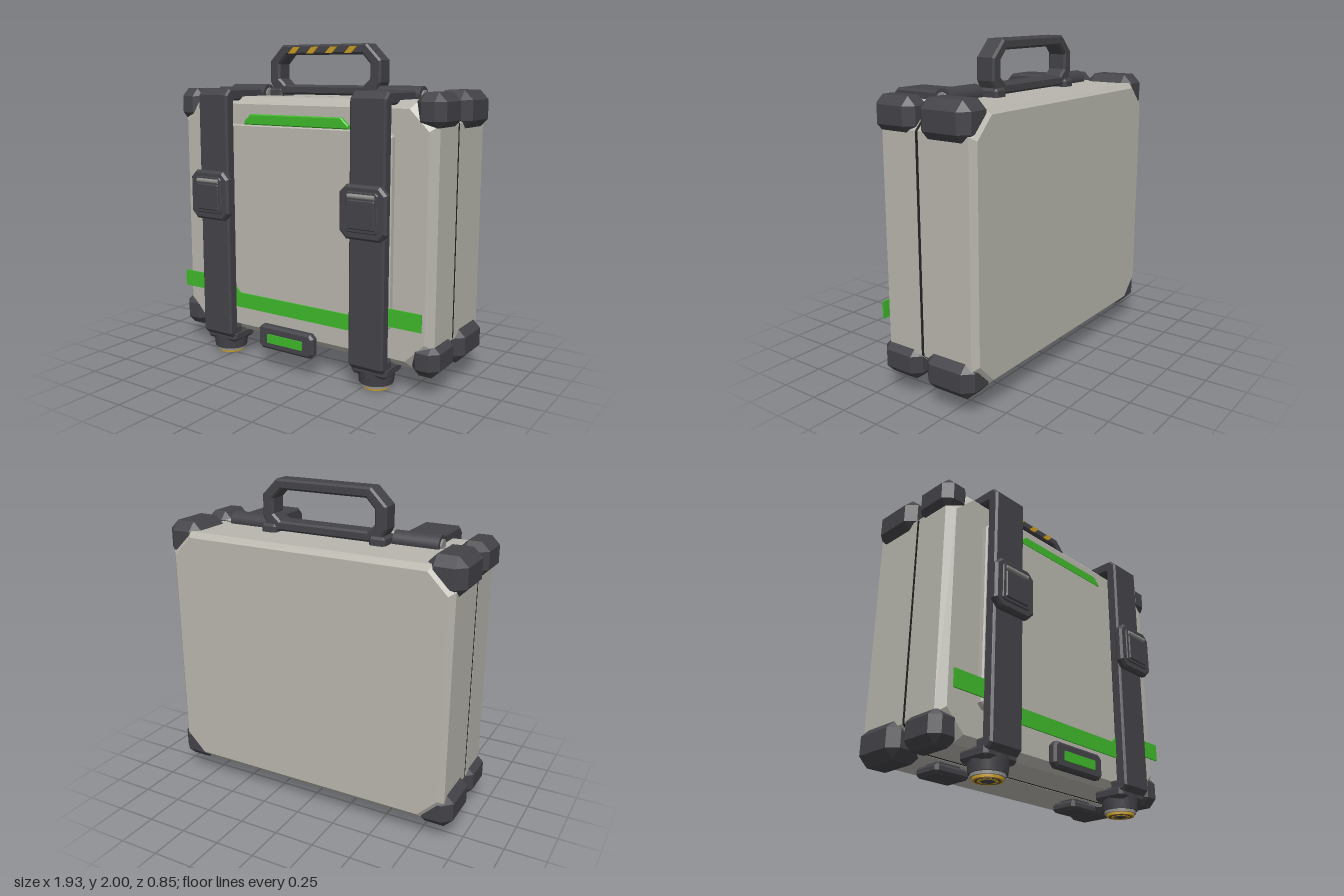
import * as THREE from 'three';
import { ConvexGeometry } from 'three/addons/geometries/ConvexGeometry.js';

const paint = (name, color) => Object.assign(new THREE.MeshStandardMaterial({ color }), { name });

// Octagon outline: a rectangle with its corners cut by c
const octagon = (x0, x1, y0, y1, c) => [
  [x0 + c, y0], [x1 - c, y0], [x1, y0 + c], [x1, y1 - c],
  [x1 - c, y1], [x0 + c, y1], [x0, y1 - c], [x0, y0 + c]];

const toShape = (pts) => new THREE.Shape(pts.map(([x, y]) => new THREE.Vector2(x, y)));

// Extruded outline between z0 and z1, with its rims bevelled inward
function plate(pts, z0, z1, bevel = 0, hole = null) {
  const shape = toShape(pts);
  if (hole) shape.holes.push(toShape(hole));
  const geo = new THREE.ExtrudeGeometry(shape, {
    depth: z1 - z0 - 2 * bevel, bevelEnabled: bevel > 0, bevelSegments: 1,
    bevelSize: bevel, bevelThickness: bevel, bevelOffset: -bevel });
  return geo.translate(0, 0, z0 + bevel);
}

// Box with every edge chamfered by c
function chamferBox(x0, x1, y0, y1, z0, z1, c) {
  const h = [(x1 - x0) / 2, (y1 - y0) / 2, (z1 - z0) / 2];
  const pts = [];
  for (const sx of [-1, 1]) for (const sy of [-1, 1]) for (const sz of [-1, 1])
    for (let a = 0; a < 3; a++) {
      const v = h.map((e, i) => (i === a ? e : e - c));
      pts.push(new THREE.Vector3(v[0] * sx, v[1] * sy, v[2] * sz));
    }
  return new ConvexGeometry(pts).translate((x0 + x1) / 2, (y0 + y1) / 2, (z0 + z1) / 2);
}

// Case half: full outline from zSeam to zRim, then a bevel to the inset face
function shell(zSeam, zRim, zFace, inset) {
  const pts = [];
  const add = (i, c, z) => octagon(-0.92 + i, 0.92 - i, 0.155 + i, 1.68 - i, c)
    .forEach(([x, y]) => pts.push(new THREE.Vector3(x, y, z)));
  add(0, 0.13, zSeam);
  add(0, 0.13, zRim);
  add(inset, 0.12, zFace);
  return new ConvexGeometry(pts);
}

export function createModel() {
  const shellGrey = paint('warm grey shell', 0xb7b5ac);
  const dark = paint('charcoal plastic', 0x434348);
  const green = paint('green accent', 0x3fb82b);
  const gold = paint('gold', 0xc99a1e);
  const metal = paint('metal grey', 0x8f8f8d);
  const seamBlack = paint('seam black', 0x222222);

  const model = new THREE.Group();
  model.name = 'hardCase';
  const add = (name, geo, mat, parent = model) => {
    const mesh = new THREE.Mesh(geo, mat);
    mesh.name = name;
    parent.add(mesh);
    return mesh;
  };
  const group = (name) => {
    const g = new THREE.Group();
    g.name = name;
    model.add(g);
    return g;
  };

  // Case halves, the seam between them and the raised front panel
  add('frontShell', shell(-0.04, 0.195, 0.238, 0.045), shellGrey);
  add('rearShell', shell(-0.06, -0.395, -0.428, 0.032), shellGrey);
  add('seam', plate(octagon(-0.918, 0.918, 0.157, 1.678, 0.13), -0.062, -0.038), seamBlack);
  add('frontPanel', plate(octagon(-0.67, 0.67, 0.365, 1.51, 0.03), 0.23, 0.275, 0.008), shellGrey);

  // Corner guards on both halves
  const guards = group('cornerGuards');
  for (const s of [-1, 1]) {
    const span = (a, b) => (s > 0 ? [a, b] : [-b, -a]);
    for (const [y0, y1, r0, r1] of [[0.12, 0.32, 0.11, 0.33], [1.52, 1.725, 1.505, 1.73]]) {
      add('frontCornerGuard', chamferBox(...span(0.775, 0.955), y0, y1, -0.035, 0.245, 0.05), dark, guards);
      add('rearCornerGuard', chamferBox(...span(0.735, 0.965), r0, r1, -0.41, -0.075, 0.055), dark, guards);
    }
  }

  // Green accents
  const top = [[-0.38, 1.51], [0.38, 1.51], [0.38, 1.53], [0.33, 1.575], [-0.33, 1.575], [-0.38, 1.53]];
  add('topAccent', plate(top, 0.235, 0.265, 0.006), green);
  const band = [[0.88, 0.41], [0.88, 0.515], [0.495, 0.515], [0.41, 0.43]];
  const bandEnd = [[0.45, 0.335], [0.525, 0.41]];
  const mirror = (pts) => pts.map(([x, y]) => [-x, y]).reverse();
  add('lowerBand', plate([...bandEnd, ...band, ...mirror(band), ...mirror(bandEnd)], 0.284, 0.293), green);

  // Front badge
  add('badge', plate(octagon(-0.205, 0.205, 0.13, 0.28, 0.025), 0.31, 0.368, 0.014), dark);
  add('badgeLight', plate(octagon(-0.13, 0.13, 0.175, 0.23, 0.002), 0.367, 0.376), green);

  // Carry handle with its feet and hazard stripes
  const handle = group('handle');
  const outer = [[-0.37, 1.69], [0.37, 1.69], [0.41, 1.77], [0.41, 1.9], [0.31, 2],
    [-0.31, 2], [-0.41, 1.9], [-0.41, 1.77]];
  const opening = [[-0.29, 1.75], [0.29, 1.75], [0.335, 1.79], [0.335, 1.88], [0.28, 1.938],
    [-0.28, 1.938], [-0.335, 1.88], [-0.335, 1.79]];
  add('handleLoop', plate(outer, -0.17, -0.045, 0.012, opening), dark, handle);
  for (const s of [-1, 1])
    add('handleFoot', chamferBox(s * 0.36 - 0.05, s * 0.36 + 0.05, 1.66, 1.73, -0.19, -0.035, 0.015), dark, handle);
  for (let i = 0; i < 4; i++) {
    const x = -0.26 + i * 0.14;
    add('hazardStripe', plate([[x, 1.945], [x + 0.05, 1.945], [x + 0.09, 1.985], [x + 0.04, 1.985]],
      -0.046, -0.038), gold, handle);
  }

  // Strap side profile as (z, y): over the lid, down the front, under the base
  const strapProfile = [[-0.03, 1.655], [0.275, 1.655], [0.28, 1.65], [0.28, 0.2], [0.235, 0.2], [0.235, 0.13],
    [0.325, 0.13], [0.355, 0.16], [0.355, 1.69], [0.315, 1.73], [-0.03, 1.73]];

  for (const s of [-1, 1]) {
    const cx = s * 0.558;
    const side = group(s > 0 ? 'leftStrapSet' : 'rightStrapSet');
    side.position.x = cx;
    const put = (name, geo, mat) => add(name, geo, mat, side);

    put('strap', plate(strapProfile, -0.115, 0.115, 0.012).rotateY(-Math.PI / 2), dark);

    // Hinge barrel and pin
    const barrel = (r, len) => new THREE.CylinderGeometry(r, r, len, 12).rotateZ(Math.PI / 2).translate(0, 1.695, -0.045);
    put('hingeBarrel', barrel(0.058, 0.28), dark);
    put('hingePin', barrel(0.035, 0.3), metal);

    // Buckle frame, button and metal bar
    put('buckleFrame', plate(octagon(-0.152, 0.152, 0.912, 1.22, 0.045), 0.35, 0.404, 0.014), dark);
    put('buckleRim', plate(octagon(-0.105, 0.105, 0.955, 1.185, 0.015), 0.4, 0.412, 0.005), dark);
    put('buckleButton', plate(octagon(-0.085, 0.085, 0.975, 1.14, 0.005), 0.405, 0.42, 0.006), dark);
    put('buckleBar', new THREE.CylinderGeometry(0.013, 0.013, 0.17, 8).rotateZ(Math.PI / 2)
      .translate(0, 1.16, 0.412), metal);

    // Round foot: collar, body, metal ring, gold rings around a dark core
    const disc = (name, r, y0, y1, mat, n = 16) => put(name,
      new THREE.CylinderGeometry(r, r, y1 - y0, n).translate(0, (y0 + y1) / 2, 0.215), mat);
    put('footCollar', chamferBox(-0.12, 0.12, 0.09, 0.165, 0.11, 0.32, 0.02), dark);
    put('footBody', new THREE.CylinderGeometry(0.115, 0.105, 0.09, 16).translate(0, 0.08, 0.215), dark);
    disc('footRing', 0.096, 0.018, 0.036, metal);
    disc('footGoldRing', 0.085, 0.004, 0.02, gold);
    disc('footDarkRing', 0.07, 0.002, 0.02, dark);
    disc('footGoldInner', 0.058, 0.001, 0.02, gold);
    disc('footCore', 0.042, 0, 0.02, dark, 6);

    // Rest pad under the rear half
    put('rearPad', chamferBox(-0.12, 0.12, 0.08, 0.14, -0.24, -0.055, 0.018), dark);
    put('rearPadMount', chamferBox(-0.08, 0.08, 0.12, 0.17, -0.2, -0.09, 0.005), dark);
  }
  return model;
}
